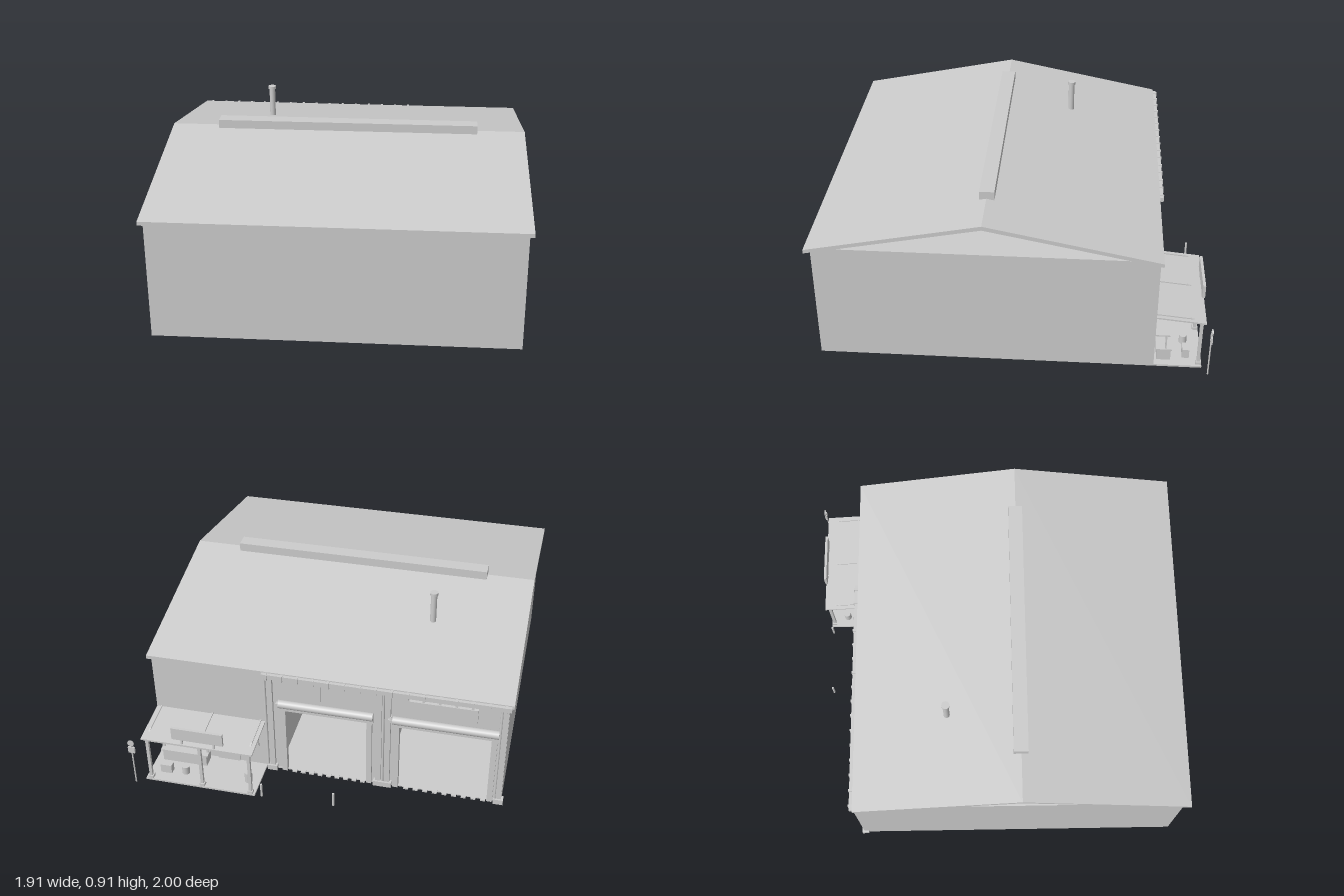
import * as THREE from 'three';

export function createModel() {
  const model = new THREE.Group();
  const mat = new THREE.MeshStandardMaterial({ color: 0xcccccc, side: THREE.DoubleSide });

  const add = (name, geometry, parent = model) => {
    const mesh = new THREE.Mesh(geometry, mat);
    mesh.name = name;
    parent.add(mesh);
    return mesh;
  };
  // Box given by its limits on each axis
  const box = (name, x0, x1, y0, y1, z0, z1, parent) => {
    const m = add(name, new THREE.BoxGeometry(x1 - x0, y1 - y0, z1 - z0), parent);
    m.position.set((x0 + x1) / 2, (y0 + y1) / 2, (z0 + z1) / 2);
    return m;
  };
  const rod = (name, x, z, y0, y1, r, parent, sides = 12) => {
    const m = add(name, new THREE.CylinderGeometry(r, r, y1 - y0, sides), parent);
    m.position.set(x, (y0 + y1) / 2, z);
    return m;
  };
  // Profile of [z, y] points, drawn out along x
  const prism = (name, points, x0, x1, parent) => {
    const shape = new THREE.Shape(points.map(p => new THREE.Vector2(...p)));
    const g = new THREE.ExtrudeGeometry(shape, { depth: x1 - x0, bevelEnabled: false });
    return add(name, g.rotateY(-Math.PI / 2).translate(x1, 0, 0), parent);
  };
  const group = name => {
    const g = new THREE.Group();
    g.name = name;
    model.add(g);
    return g;
  };

  // Hall: floor, ceiling, solid walls and bay partitions
  const hall = group('hall');
  box('floor', -0.94, 0.89, 0, 0.006, -0.73, 0.97, hall);
  box('ceiling', -0.935, 0.885, 0.615, 0.635, -0.72, 0.965, hall);
  box('frontWall', -0.94, 0.89, 0, 0.635, 0.95, 0.97, hall);
  box('rightWall', -0.94, -0.92, 0, 0.635, -0.72, 0.96, hall);
  box('leftWall', 0.87, 0.89, 0, 0.635, -0.72, 0.96, hall);
  for (const x of [0.24, -0.33]) box('partition', x - 0.01, x + 0.01, 0, 0.62, -0.715, 0.955, hall);

  // Back wall with two gate openings
  const bays = [[-0.88, -0.39], [-0.25, 0.2]];
  const doorTop = 0.42;
  const outline = [[-0.94, 0]];
  for (const [a, b] of bays) outline.push([a, 0], [a, doorTop], [b, doorTop], [b, 0]);
  outline.push([0.89, 0], [0.89, 0.635], [-0.94, 0.635]);
  const wall = new THREE.Shape(outline.map(p => new THREE.Vector2(...p)));
  add('backWall', new THREE.ExtrudeGeometry(wall, { depth: 0.02, bevelEnabled: false }).translate(0, 0, -0.725), hall);

  // Open-gabled roof shell, ridge vent and chimney
  prism('roof', [[1, 0.638], [0.13, 0.812], [-0.74, 0.638], [-0.74, 0.618], [0.13, 0.79], [1, 0.618]], -0.96, 0.91);
  box('ridgeVent', -0.71, 0.66, 0.79, 0.85, 0.09, 0.165);
  const chimney = group('chimney');
  rod('chimneyPipe', -0.48, -0.25, 0.7, 0.9, 0.016, chimney, 16);
  rod('chimneyCap', -0.48, -0.25, 0.892, 0.908, 0.021, chimney, 16);

  // Gutter with brackets along the back eave
  const gutter = group('gutter');
  box('gutterTrough', -0.95, 0.3, 0.608, 0.632, -0.757, -0.738, gutter);
  for (let i = 0; i < 16; i++) {
    const x = -0.93 + i * 0.08;
    box('gutterBracket', x, x + 0.012, 0.6, 0.635, -0.762, -0.725, gutter);
  }

  // Pilasters with footings, and downpipes beside them
  const columns = group('pilasters');
  for (const x of [-0.925, -0.345, -0.3, 0.265]) {
    box('pilaster', x - 0.014, x + 0.014, 0, 0.618, -0.742, -0.715, columns);
    box('pilasterFoot', x - 0.025, x + 0.025, 0, 0.03, -0.752, -0.715, columns);
  }
  for (const x of [-0.322, -0.905, 0.29]) rod('downpipe', x, -0.737, 0, 0.615, 0.007, columns);

  // Gates: frame, roller housing, runners and toothed threshold
  for (const [a, b] of bays) {
    const gate = group('gate');
    for (const x of [a, b]) box('jamb', x - 0.014, x + 0.014, 0, doorTop, -0.74, -0.71, gate);
    box('lintel', a - 0.02, b + 0.02, doorTop - 0.015, doorTop + 0.01, -0.742, -0.71, gate);
    const roller = rod('rollerHousing', (a + b) / 2, -0.738, -(b - a) / 2 - 0.02, (b - a) / 2 + 0.02, 0.022, gate, 16);
    roller.rotation.z = Math.PI / 2;
    roller.position.set((a + b) / 2, 0.445, -0.738);
    box('doorRoll', a, b, 0.39, 0.42, -0.722, -0.712, gate);
    for (let i = 0; i < 9; i++) {
      const x = a + 0.02 + i * (b - a - 0.04) / 9;
      box('thresholdTooth', x, x + 0.025, 0, 0.008, -0.745, -0.72, gate);
    }
  }
  box('gateSign', -0.79, -0.45, 0.5, 0.58, -0.742, -0.72);
  box('ventPanel', 0, 0.13, 0.49, 0.59, -0.731, -0.72);

  // Wall lamps on short arms
  for (const x of [0.22, -0.36, -0.86]) {
    const lamp = group('wallLamp');
    box('lampArm', x - 0.004, x + 0.004, 0.455, 0.462, -0.75, -0.72, lamp);
    box('lampHead', x - 0.012, x + 0.012, 0.44, 0.456, -0.756, -0.738, lamp);
  }

  // Porch: deck, sloping roof, posts and rafters
  const porch = group('porch');
  box('deck', 0.3, 0.89, 0, 0.01, -0.965, -0.72, porch);
  prism('porchRoof', [[-0.72, 0.305], [-0.97, 0.28], [-0.97, 0.272], [-0.72, 0.297]], 0.3, 0.89, porch);
  box('porchBeam', 0.31, 0.88, 0.258, 0.274, -0.957, -0.942, porch);
  for (const x of [0.325, 0.585, 0.865]) {
    box('porchPost', x - 0.008, x + 0.008, 0.01, 0.274, -0.957, -0.941, porch);
    box('postFoot', x - 0.014, x + 0.014, 0.01, 0.025, -0.963, -0.935, porch);
    prism('rafter', [[-0.72, 0.311], [-0.89, 0.294], [-0.95, 0.272], [-0.72, 0.29]], x - 0.004, x + 0.004, porch);
  }
  box('porchSign', 0.45, 0.72, 0.31, 0.38, -0.97, -0.956, porch);
  for (const x of [0.5, 0.67]) box('signLeg', x - 0.005, x + 0.005, 0.275, 0.32, -0.966, -0.958, porch);

  // Porch furnishings: doorway, counter with shelf, crate, stool and bin
  box('porchDoor', 0.45, 0.57, 0.01, 0.24, -0.732, -0.72, porch);
  box('counter', 0.61, 0.85, 0.01, 0.075, -0.81, -0.74, porch);
  box('counterTop', 0.6, 0.86, 0.075, 0.083, -0.815, -0.735, porch);
  box('shelf', 0.6, 0.86, 0.165, 0.172, -0.8, -0.725, porch);
  for (const x of [0.61, 0.85]) box('shelfUpright', x - 0.004, x + 0.004, 0.08, 0.168, -0.787, -0.779, porch);
  box('noticeBoard', 0.34, 0.43, 0.13, 0.21, -0.735, -0.72, porch);
  box('crate', 0.77, 0.83, 0.01, 0.06, -0.905, -0.87, porch);
  rod('stool', 0.7, -0.88, 0.01, 0.055, 0.02, porch, 16);
  rod('bin', 0.36, -0.87, 0.01, 0.07, 0.02, porch, 16);

  // Free-standing bollards
  for (const [x, z] of [[-0.11, -0.94], [0.265, -0.955]]) rod('bollard', x, z, 0, 0.08, 0.006);

  // Roadside post with box and round plate
  const post = group('roadsidePost');
  rod('pole', 0.935, -0.993, 0, 0.27, 0.004, post);
  box('postBox', 0.917, 0.953, 0.2, 0.237, -0.999, -0.99, post);
  const disc = rod('roundPlate', 0.935, -0.995, -0.003, 0.003, 0.017, post, 24);
  disc.rotation.x = Math.PI / 2;
  disc.position.set(0.935, 0.263, -0.996);

  return model;
}
